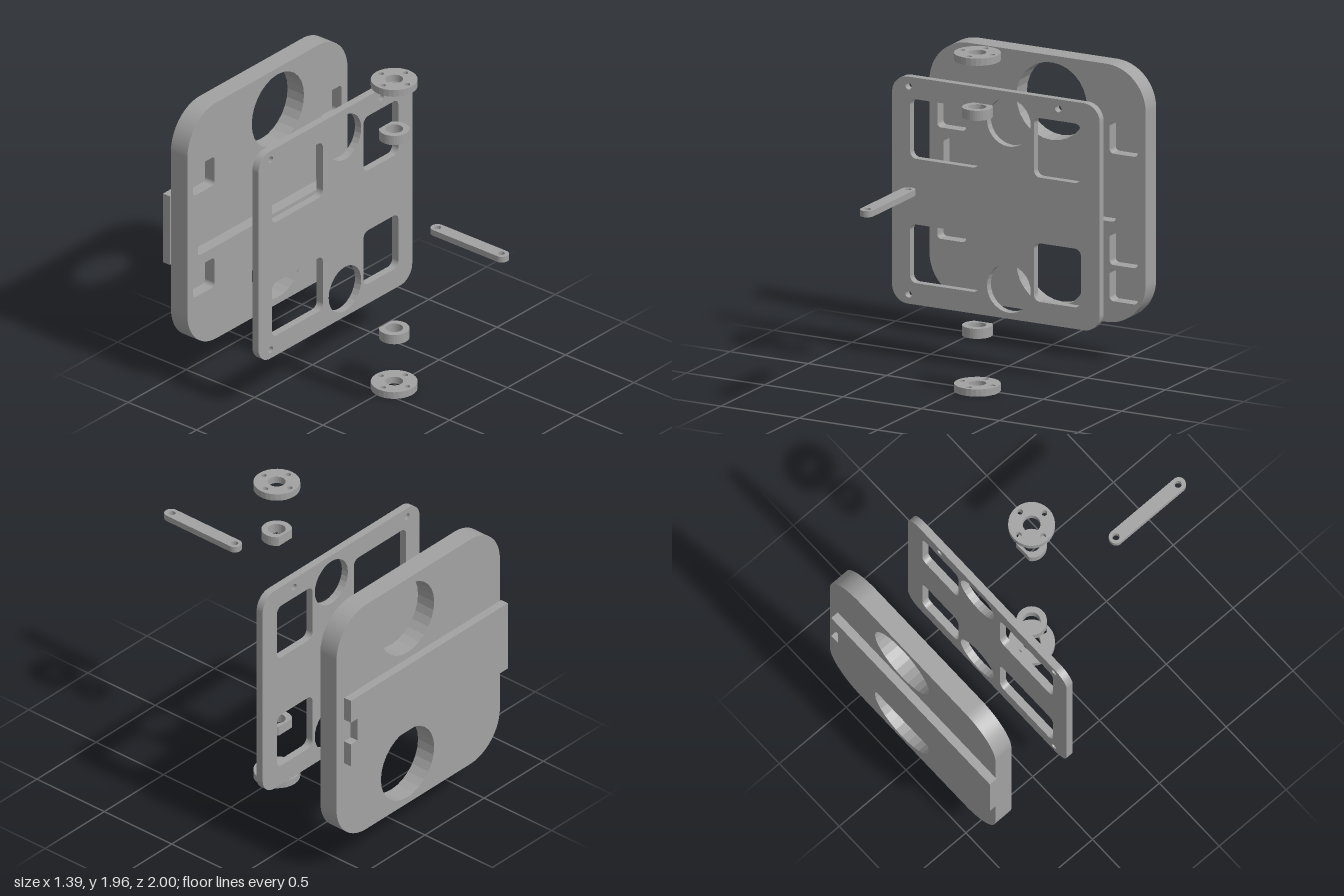
import * as THREE from 'three';

const grey = new THREE.MeshStandardMaterial({ color: 0xa2a2a2 });
grey.name = 'machined grey';

// Rounded rectangle outline from its limits
function roundRect(x0, y0, x1, y1, r) {
  const s = new THREE.Shape();
  s.moveTo(x0 + r, y0);
  s.lineTo(x1 - r, y0);
  s.absarc(x1 - r, y0 + r, r, -Math.PI / 2, 0);
  s.lineTo(x1, y1 - r);
  s.absarc(x1 - r, y1 - r, r, 0, Math.PI / 2);
  s.lineTo(x0 + r, y1);
  s.absarc(x0 + r, y1 - r, r, Math.PI / 2, Math.PI);
  s.lineTo(x0, y0 + r);
  s.absarc(x0 + r, y0 + r, r, Math.PI, Math.PI * 1.5);
  return s;
}

function circle(x, y, r) {
  const s = new THREE.Shape();
  s.absarc(x, y, r, 0, Math.PI * 2);
  return s;
}

// Upright plate: outline in x/y, from z0 to z1
function plate(name, shape, holes, z0, z1) {
  shape.holes.push(...holes);
  const geo = new THREE.ExtrudeGeometry(shape, { depth: z1 - z0, bevelEnabled: false, curveSegments: 14 });
  geo.translate(0, 0, z0);
  const mesh = new THREE.Mesh(geo, grey);
  mesh.name = name;
  return mesh;
}

// Lying plate: outline in x/-z, from y0 to y1
function flat(name, shape, holes, y0, y1) {
  const mesh = plate(name, shape, holes, y0, y1);
  mesh.geometry.rotateX(-Math.PI / 2);
  return mesh;
}

export function createModel() {
  const model = new THREE.Group();
  model.name = 'explodedAssembly';
  const cx = 0.09, cz = 0.02;

  // Thick housing: a floor layer plus a front layer with blind pockets
  const housing = new THREE.Group();
  housing.name = 'housing';
  const outline = () => roundRect(-0.69, 0.235, 0.69, 1.73, 0.25);
  const bores = () => [0.5, 1.465].map(y => circle(cx, y, 0.225));
  const pockets = [
    [-0.64, 1.215, -0.455, 1.395],
    [0.46, 1.215, 0.64, 1.395],
    [-0.64, 0.57, -0.455, 0.755],
    [0.46, 0.57, 0.64, 0.755],
    [0.46, 0.36, 0.64, 0.54],
    [-0.6, 0.82, 0.5, 1.16],
  ].map(p => roundRect(...p, 0.025));
  housing.add(
    plate('housingFloor', outline(), bores(), -0.95, -0.9),
    plate('housingFront', outline(), [...bores(), ...pockets], -0.9, -0.83)
  );

  // Notched rail across the back
  const rail = new THREE.Shape([
    [-0.7, 0.765], [0.625, 0.765], [0.625, 0.91], [0.57, 0.91],
    [0.57, 1.055], [0.625, 1.055], [0.625, 1.2], [-0.7, 1.2],
  ].map(p => new THREE.Vector2(...p)));
  housing.add(plate('backRail', rail, [], -1, -0.95));
  model.add(housing);

  // Thin cover with four windows, two bores and three screw holes
  const coverHoles = [circle(cx, 0.5, 0.14), circle(cx, 1.462, 0.14)];
  for (const [y0, y1] of [[0.45, 0.79], [1.17, 1.515]]) {
    coverHoles.push(roundRect(-0.54, y0, -0.1, y1, 0.04), roundRect(0.25, y0, 0.55, y1, 0.04));
  }
  for (const [x, y] of [[-0.55, 1.585], [0.405, 1.585], [-0.55, 0.38]]) {
    coverHoles.push(circle(x, y, 0.02));
  }
  model.add(plate('cover', roundRect(-0.655, 0.325, 0.67, 1.64, 0.1), coverHoles, -0.385, -0.34));

  // Round flanges at the very top and bottom
  for (const [name, y] of [['topFlange', 1.916], ['bottomFlange', 0]]) {
    const holes = [circle(cx, -cz, 0.05)];
    for (let i = 0; i < 4; i++) {
      const a = i * Math.PI / 2;
      holes.push(circle(cx + 0.096 * Math.cos(a), -cz + 0.096 * Math.sin(a), 0.016));
    }
    model.add(flat(name, circle(cx, -cz, 0.131), holes, y, y + 0.042));
  }

  // Teardrop collars, pointing to the back
  for (const [name, y] of [['topCollar', 1.585], ['bottomCollar', 0.322]]) {
    const r = 0.086, tip = 0.113, a = Math.acos(r / tip);
    const drop = new THREE.Shape();
    drop.moveTo(cx, -cz + tip);
    drop.absarc(cx, -cz, r, Math.PI / 2 + a, Math.PI * 2.5 - a);
    drop.closePath();
    model.add(flat(name, drop, [circle(cx, -cz, 0.05)], y, y + 0.058));
  }

  // Link bar with an eye at each end
  model.add(flat('linkBar', roundRect(-0.13, -1, -0.05, -0.45, 0.0399),
    [circle(-0.09, -0.955, 0.02), circle(-0.09, -0.49, 0.02)], 1.22, 1.256));

  return model;
}
